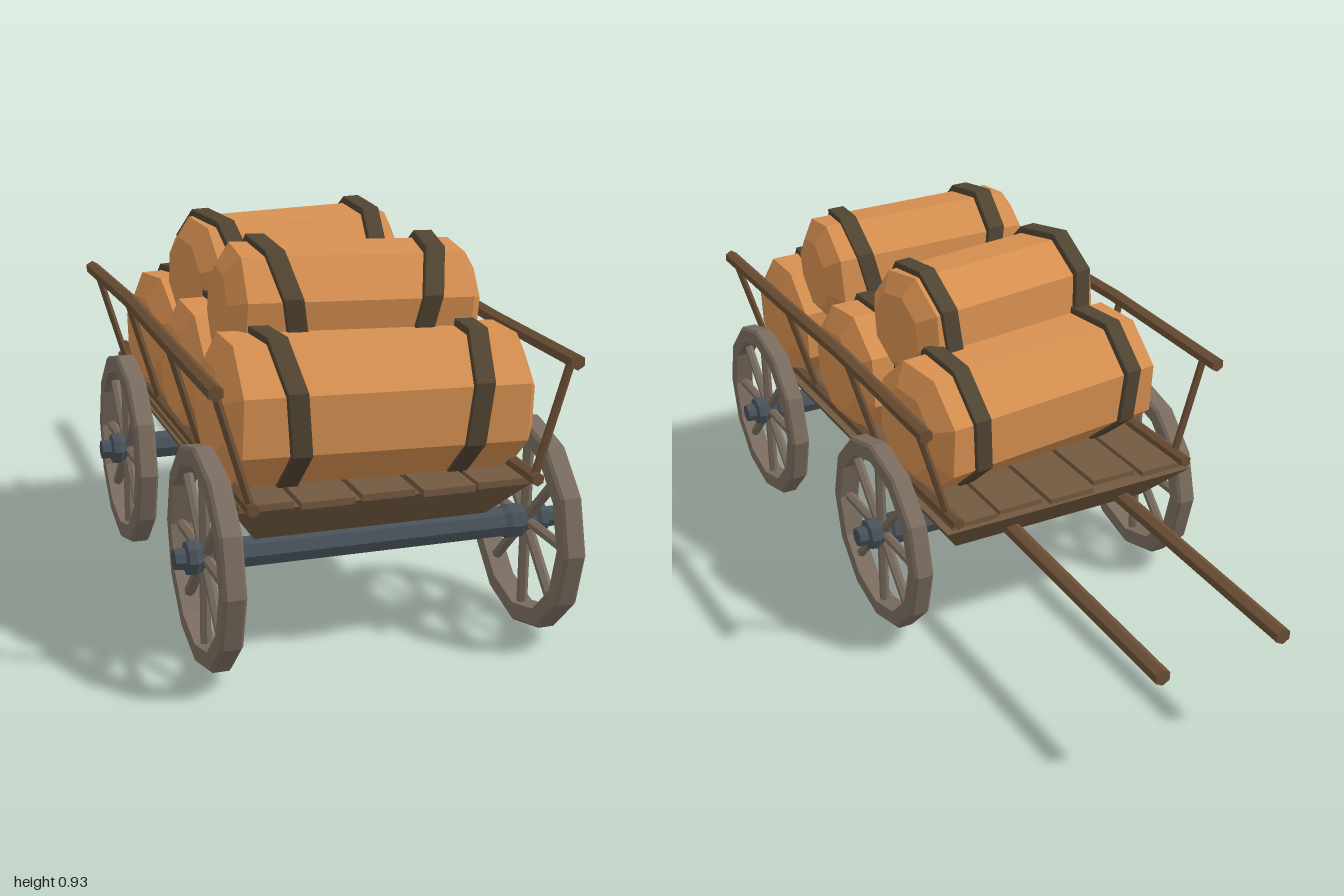
import * as THREE from 'three';

const paint = (name, color) => Object.assign(new THREE.MeshStandardMaterial({ color }), { name });

export function createModel() {
  const root = new THREE.Group();
  root.name = 'loadedWagon';
  const plankWood = paint('plank wood', 0x735a40);
  const railWood = paint('rail wood', 0x6b4f35);
  const wheelWood = paint('weathered wheel wood', 0x7a6c5f);
  const iron = paint('dark iron', 0x48525a);
  const barrelWood = paint('barrel wood', 0xd68f50);
  const strapMat = paint('dark strap', 0x514432);

  // Faceted mesh helper: every face gets its own normal
  const add = (parent, name, geo, mat) => {
    const g = geo.index ? geo.toNonIndexed() : geo;
    g.computeVertexNormals();
    const m = new THREE.Mesh(g, mat);
    m.name = name;
    parent.add(m);
    return m;
  };
  // Lathe whose axis lies along x
  const latheX = (pts, sides, spin = 0) => new THREE.LatheGeometry(
    pts.map(p => new THREE.Vector2(p[0], p[1])), sides).rotateY(spin).rotateZ(-Math.PI / 2);
  // Closed ring of rectangular section with bevelled outer edges
  const ring = (rIn, rOut, w, bevel, sides, spin) => latheX([
    [rIn, -w], [rOut - bevel, -w], [rOut, -w + bevel], [rOut, w - bevel],
    [rOut - bevel, w], [rIn, w], [rIn, -w]], sides, spin);
  // Round bar between two points
  const bar = (parent, name, a, b, r, mat, sides = 6) => {
    const A = new THREE.Vector3(...a), d = new THREE.Vector3(...b).sub(A);
    const m = add(parent, name, new THREE.CylinderGeometry(r, r, d.length(), sides), mat);
    m.position.copy(A).addScaledVector(d, 0.5);
    m.quaternion.setFromUnitVectors(new THREE.Vector3(0, 1, 0), d.normalize());
    return m;
  };

  // Bed: a box tapering towards its underside
  const bed = new THREE.BoxGeometry(2, 2, 2), p = bed.attributes.position;
  for (let i = 0; i < p.count; i++) {
    const top = p.getY(i) > 0;
    p.setXYZ(i, p.getX(i) * (top ? 0.355 : 0.28), top ? 0.397 : 0.285,
      0.24 + p.getZ(i) * (top ? 0.62 : 0.51));
  }
  add(root, 'bed', bed, plankWood);

  // Floor planks with slightly uneven ends
  [[-0.285, 0.86, -0.36], [-0.148, 0.875, -0.34], [-0.003, 0.865, -0.37],
    [0.137, 0.88, -0.355], [0.273, 0.87, -0.365]].forEach(([x, z1, z0]) => {
    add(root, 'floorPlank', new THREE.BoxGeometry(0.125, 0.016, z1 - z0), plankWood)
      .position.set(x, 0.403, (z0 + z1) / 2);
  });

  // Ladder sides
  for (const s of [1, -1]) {
    const side = new THREE.Group();
    side.name = s > 0 ? 'leftLadder' : 'rightLadder';
    root.add(side);
    bar(side, 'lowerRail', [s * 0.333, 0.422, 0.92], [s * 0.333, 0.43, -0.395], 0.016, railWood);
    const rail = [[0.415, 0.69, 0.925], [0.413, 0.692, 0.5], [0.413, 0.702, 0.1], [0.415, 0.69, -0.395]];
    for (let i = 0; i < 3; i++) {
      const [a, b] = [rail[i], rail[i + 1]];
      bar(side, 'upperRail', [s * a[0], a[1], a[2]], [s * b[0], b[1], b[2]], 0.019, railWood);
    }
    for (const z of [0.9, 0.49, 0.07, -0.337])
      bar(side, 'ladderPost', [s * 0.333, 0.422, z], [s * 0.413, 0.692, z], 0.01, railWood);
  }

  // Draught shafts
  for (const x of [-0.2, 0.134])
    bar(root, 'shaft', [x, 0.315, -0.2], [x, 0.292, -1], 0.021, railWood);

  // Axles and spoked wheels
  const hubProfile = [[0, -0.07], [0.034, -0.07], [0.043, -0.05], [0.043, -0.022], [0.036, -0.015],
    [0.036, 0.015], [0.043, 0.025], [0.04, 0.043], [0.027, 0.048], [0.025, 0.072], [0, 0.072]];
  for (const z of [0.743, -0.07]) {
    bar(root, 'axle', [-0.328, 0.258, z], [0.328, 0.258, z], 0.037, iron, 8);
    for (const s of [1, -1]) {
      const wheel = new THREE.Group();
      wheel.name = 'wheel';
      wheel.position.set(s * 0.395, 0.258, z);
      wheel.rotation.y = s > 0 ? 0 : Math.PI;
      root.add(wheel);
      add(wheel, 'rim', ring(0.212, 0.258, 0.026, 0.007, 12, 0), wheelWood);
      add(wheel, 'hub', latheX(hubProfile, 8), iron);
      for (let i = 0; i < 8; i++) {
        const a = i * Math.PI / 4, c = Math.cos(a), d = Math.sin(a);
        bar(wheel, 'spoke', [0, 0.03 * c, 0.03 * d], [0, 0.222 * c, 0.222 * d], 0.013, wheelWood);
      }
    }
  }

  // Barrels: centre, half length, radius, yaw, roll, spin, strap offset, strap slant
  const barrels = [
    [[0, 0.573, 0.697], 0.372, 0.175, 0, -0.03, 0, 0.227, 0.1],
    [[0.005, 0.572, 0.285], 0.36, 0.174, 0.04, 0.01, 0.1, 0.22, 0.08],
    [[0, 0.574, -0.095], 0.358, 0.174, 0.15, 0.01, -0.06, 0.225, 0.08],
    [[0.005, 0.762, 0.525], 0.305, 0.152, -0.03, -0.03, 0.12, 0.172, 0.2],
    [[0, 0.765, 0.095], 0.288, 0.152, 0.17, 0, 0.1, 0.2, 0.1],
  ];
  for (const [pos, h, r, yaw, roll, spin, off, slant] of barrels) {
    const barrel = new THREE.Group();
    barrel.name = 'barrel';
    barrel.position.set(...pos);
    barrel.rotation.set(0, yaw, roll, 'YXZ');
    root.add(barrel);
    const turn = Math.PI / 8 + spin;
    add(barrel, 'barrelBody', latheX([[0, -h], [r * 0.66, -h], [r, -h + 0.035],
      [r, h - 0.035], [r * 0.66, h], [0, h]], 8, turn), barrelWood);
    // Straps lean outwards at the top and inwards at the front
    for (const s of [1, -1]) {
      const g = ring(r - 0.006, r + 0.013, 0.024, 0.002, 8, turn), q = g.attributes.position;
      for (let i = 0; i < q.count; i++)
        q.setX(i, q.getX(i) + s * (slant * q.getY(i) - 0.09 * q.getZ(i)));
      add(barrel, 'strap', g, strapMat).position.set(s * off, 0.005, 0);
    }
  }
  return root;
}
